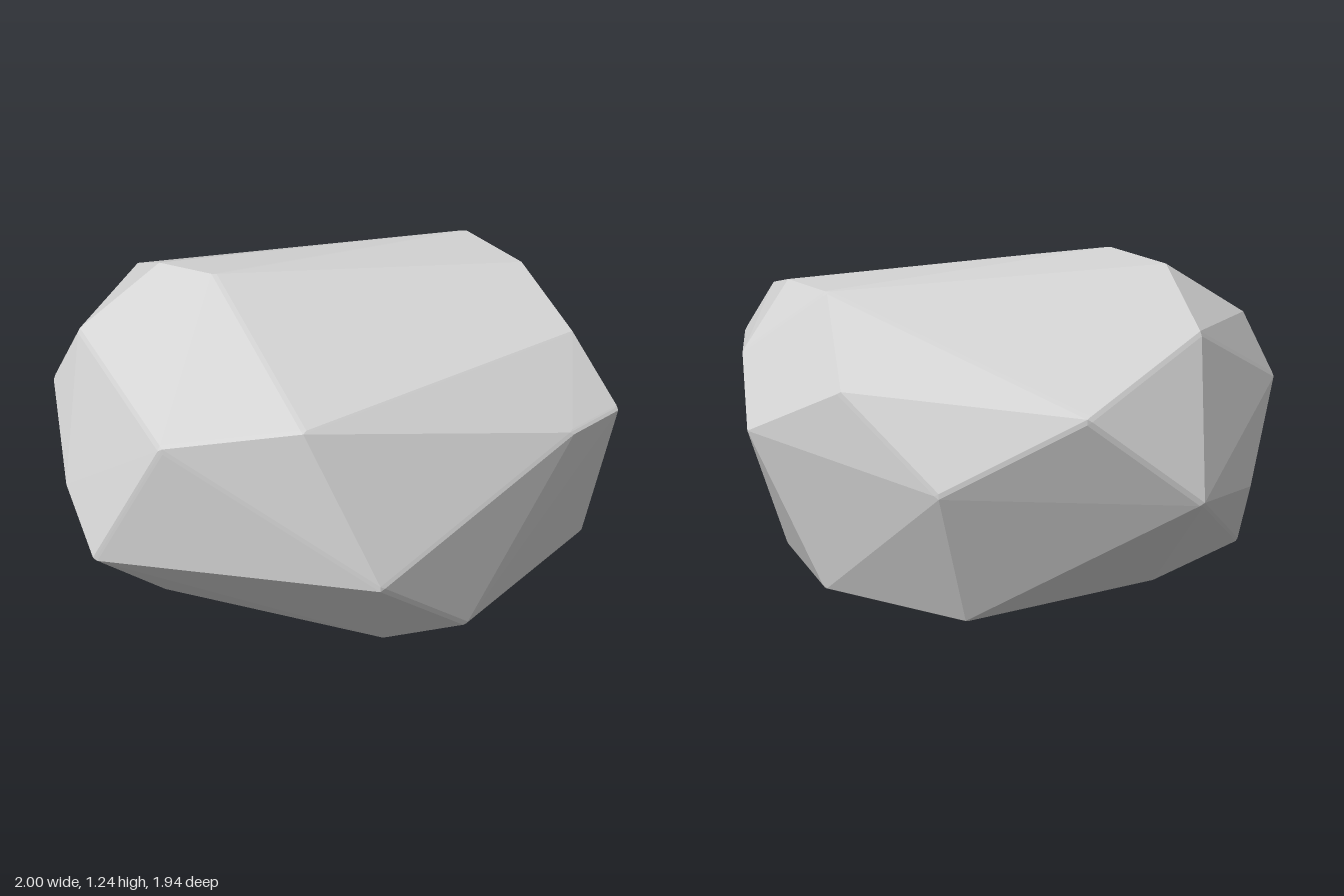
import * as THREE from 'three';
import { ConvexGeometry } from 'three/addons/geometries/ConvexGeometry.js';

// Corner points of the faceted boulder, grouped by height
const crown = [
  [-0.61, 1.21, -0.1], [-0.41, 1.235, 0.06], [0.7, 1.155, -0.26],
  [0.51, 1.175, -0.53], [0.85, 1.055, 0.14], [-0.07, 1.035, 0.88],
  [-0.735, 1.057, -0.47], [-0.89, 1.01, 0.04],
];
const girdle = [
  [0.18, 0.525, 0.97], [-0.53, 0.93, 0.79], [-0.78, 0.47, 0.7],
  [-0.91, 0.58, 0.39], [-1, 0.8, -0.01], [-0.92, 0.51, -0.4],
  [-0.76, 0.58, -0.79], [-0.4, 0.89, -0.955], [0.07, 0.63, -0.97],
  [0.415, 0.91, -0.8], [0.76, 0.725, -0.64], [0.83, 0.935, -0.4],
  [1, 0.84, 0.295], [0.83, 0.83, 0.46],
];
const underside = [
  [0.91, 0.335, 0.26], [0.475, 0.22, 0.7], [0.2, 0.1, 0.61],
  [0.3, 0.03, 0.45], [0.4, 0.005, 0.15], [0.46, 0, -0.16],
  [0.73, 0.175, -0.255], [0.51, 0.18, -0.66], [0.01, 0.133, -0.78],
  [-0.6, 0.145, -0.37], [-0.6, 0.125, 0.34], [-0.89, 0.24, -0.19],
  [-0.74, 0.27, 0.4],
];

const CENTRE = new THREE.Vector3(0, 0.617, 0);
const BEVEL = 0.018;

// Each corner becomes a tiny ball, so the hull gets narrow worn edges
function wornCorner(corner) {
  const p = new THREE.Vector3(...corner).sub(CENTRE);
  p.setLength(p.length() - BEVEL).add(CENTRE);
  const ball = new THREE.IcosahedronGeometry(BEVEL).attributes.position;
  return Array.from({ length: ball.count }, (_, i) =>
    new THREE.Vector3().fromBufferAttribute(ball, i).add(p));
}

export function createModel() {
  const group = new THREE.Group();
  group.name = 'rock';

  const stone = new THREE.MeshStandardMaterial({ color: 0xd4d4d4 });
  stone.name = 'stone grey';

  // Convex hull gives flat-faced stone
  const points = [...crown, ...girdle, ...underside].flatMap(wornCorner);
  const boulder = new THREE.Mesh(new ConvexGeometry(points), stone);
  boulder.name = 'boulder';
  group.add(boulder);
  return group;
}
